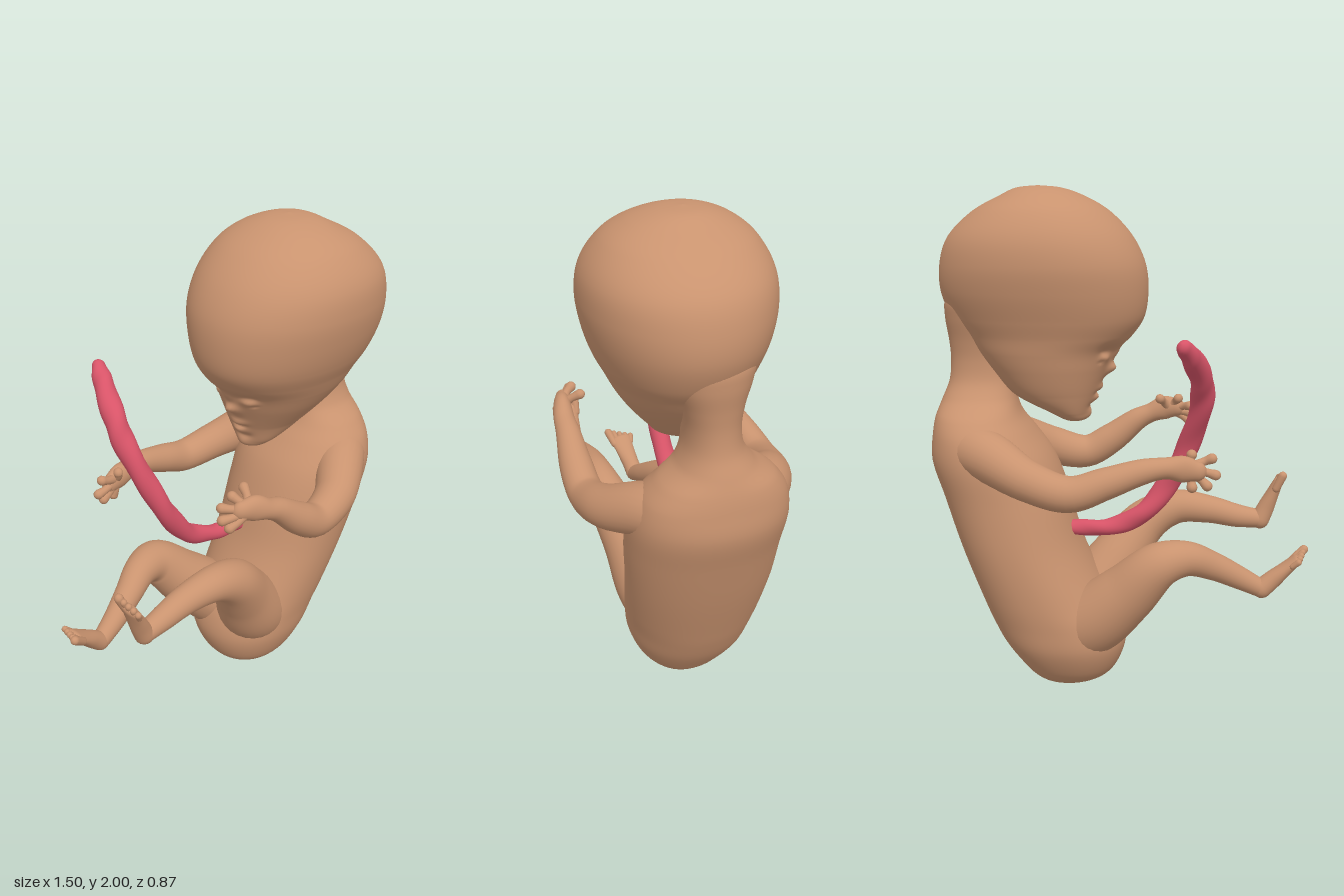
import * as THREE from 'three';

const skin = new THREE.MeshStandardMaterial({ color: 0xc9936f });
const cordSkin = new THREE.MeshStandardMaterial({ color: 0xd85468 });
const V = (x, y, z) => new THREE.Vector3(x, y, z);

// Skins a list of closed rings of points into one smooth surface
function skinRings(rings) {
  const n = rings[0].length, pos = [], index = [];
  rings.forEach((ring, r) => ring.forEach((p, i) => {
    pos.push(p.x, p.y, p.z);
    if (r === rings.length - 1) return;
    const a = r * n + i, b = r * n + (i + 1) % n;
    index.push(a, a + n, b, b, a + n, b + n);
  }));
  const geo = new THREE.BufferGeometry();
  geo.setAttribute('position', new THREE.Float32BufferAttribute(pos, 3));
  geo.setIndex(index);
  geo.computeVertexNormals();
  return geo;
}

// Horizontal sections [y, x0, x1, z0, z1]; power below 1 makes them boxier
function loft(sections, power, steps, sides) {
  const a = new THREE.CatmullRomCurve3(sections.map(s => V(s[0], s[1], s[2])));
  const b = new THREE.CatmullRomCurve3(sections.map(s => V(s[0], s[3], s[4])));
  const pw = v => Math.sign(v) * Math.abs(v) ** power;
  const rings = [];
  for (let i = 0; i <= steps; i++) {
    const p = a.getPoint(i / steps), q = b.getPoint(i / steps), ring = [];
    for (let k = 0; k < sides; k++) {
      const t = k / sides * Math.PI * 2;
      ring.push(V((p.y + p.z) / 2 + (p.z - p.y) / 2 * pw(Math.cos(t)), p.x,
        (q.y + q.z) / 2 + (q.z - q.y) / 2 * pw(Math.sin(t))));
    }
    rings.push(ring);
  }
  return skinRings(rings);
}

// Soft bumps and hollows [x, y, z, radius, z stretch, push along x]
function sculpt(geo, bumps) {
  const pos = geo.attributes.position;
  for (const [x, y, z, r, wide, push] of bumps) {
    for (let i = 0; i < pos.count; i++) {
      const d = V(pos.getX(i) - x, pos.getY(i) - y, (pos.getZ(i) - z) / wide).lengthSq();
      pos.setX(i, pos.getX(i) + push * Math.exp(-d / (r * r)));
    }
  }
  geo.computeVertexNormals();
  return geo;
}

// Round-ended limb through [x, y, z, radius, sideways stretch]
function limb(points, steps, sides, ridge = () => 1) {
  const path = new THREE.CatmullRomCurve3(points.map(p => V(p[0], p[1], p[2])));
  const size = new THREE.CatmullRomCurve3(points.map((p, i) => V(p[3], p[4] ?? 1, i)));
  const rings = [];
  const add = (t, shift, scale) => {
    const c = path.getPoint(t), d = path.getTangent(t), s = size.getPoint(t);
    const n = d.clone().cross(V(0, 0, 1)).normalize(), b = n.clone().cross(d);
    c.addScaledVector(d, shift * s.x);
    rings.push(Array.from({ length: sides }, (_, k) => {
      const a = k / sides * Math.PI * 2, r = s.x * scale * ridge(t, a);
      return c.clone().addScaledVector(n, r * Math.cos(a)).addScaledVector(b, r * s.y * Math.sin(a));
    }));
  };
  const cap = [0, 1, 2, 3, 4].map(i => i / 5 * Math.PI / 2);
  cap.forEach(a => add(0, -Math.cos(a), Math.sin(a)));
  for (let i = 0; i <= steps; i++) add(i / steps, 0, 1);
  cap.reverse().forEach(a => add(1, Math.cos(a), Math.sin(a)));
  return skinRings(rings);
}

export function createModel() {
  const model = new THREE.Group();
  const add = (name, geo, mat = skin) => {
    const mesh = new THREE.Mesh(geo, mat);
    mesh.name = name;
    model.add(mesh);
  };

  // Curled torso running up into a neck that flares into the skull
  add('torso', loft([
    [0.005, 0.23, 0.23, -0.02, -0.02], [0.015, 0.13, 0.32, -0.11, 0.08], [0.05, 0.05, 0.37, -0.17, 0.13],
    [0.1, 0.01, 0.41, -0.215, 0.17], [0.2, -0.02, 0.48, -0.265, 0.21], [0.3, 0, 0.53, -0.28, 0.225],
    [0.4, 0.06, 0.57, -0.29, 0.24], [0.6, 0.16, 0.645, -0.3, 0.265], [0.8, 0.22, 0.71, -0.3, 0.285],
    [0.95, 0.28, 0.755, -0.3, 0.285], [1.05, 0.35, 0.75, -0.275, 0.255], [1.12, 0.4, 0.738, -0.225, 0.2],
    [1.18, 0.42, 0.718, -0.145, 0.135], [1.25, 0.43, 0.692, -0.1, 0.108], [1.33, 0.43, 0.684, -0.09, 0.108],
    [1.41, 0.43, 0.69, -0.1, 0.13], [1.5, 0.42, 0.703, -0.125, 0.175], [1.57, 0.4, 0.7, -0.14, 0.205],
    [1.65, 0.4, 0.64, -0.12, 0.19],
  ], 0.93, 108, 56));

  // Large skull narrowing to the face and chin, with sculpted features
  const head = loft([
    [1.09, 0.185, 0.185, 0.01, 0.01], [1.1, 0.15, 0.23, -0.045, 0.06], [1.13, 0.135, 0.29, -0.08, 0.1],
    [1.2, 0.105, 0.43, -0.125, 0.15], [1.3, 0.06, 0.53, -0.165, 0.23], [1.37, 0.025, 0.59, -0.185, 0.275],
    [1.43, -0.035, 0.635, -0.2, 0.305], [1.5, -0.08, 0.685, -0.225, 0.34], [1.6, -0.095, 0.722, -0.258, 0.372],
    [1.7, -0.085, 0.722, -0.276, 0.387], [1.8, -0.04, 0.69, -0.265, 0.375], [1.9, 0.05, 0.59, -0.21, 0.31],
    [1.96, 0.15, 0.48, -0.13, 0.22], [1.99, 0.235, 0.415, -0.05, 0.13], [2.0, 0.33, 0.33, 0.035, 0.035],
  ], 0.96, 168, 120);
  const face = [
    [0.03, 1.36, 0.035, 0.03, 0.8, -0.012],  // nose bridge
    [0.055, 1.297, 0.035, 0.026, 1.1, -0.034],  // nose tip
    [0.1, 1.228, 0.03, 0.018, 2.2, -0.016],  // upper lip
    [0.1, 1.206, 0.03, 0.009, 4.5, 0.014],  // mouth line
    [0.11, 1.184, 0.028, 0.018, 2, -0.016],  // lower lip
    [0.125, 1.155, 0.025, 0.016, 3, 0.008],  // hollow above the chin
    [0.14, 1.118, 0.02, 0.026, 1.5, -0.014],  // chin
  ];
  for (const s of [-1, 1]) {
    face.push([0.045, 1.375, 0.035 + s * 0.095, 0.03, 1.6, 0.022]);  // eye socket
    face.push([0.06, 1.352, 0.035 + s * 0.09, 0.02, 1.8, -0.016]);  // closed eyelid
    face.push([0.07, 1.337, 0.035 + s * 0.09, 0.008, 5, 0.01]);  // eyelid line
  }
  add('head', sculpt(head, face));

  // Arms: shoulder, elbow, wrist, palm
  const arms = {
    leftArm: [[0.62, 1.0, 0.11, 0.1], [0.5, 0.975, 0.215, 0.1], [0.35, 0.915, 0.325, 0.083], [0.2, 0.885, 0.36, 0.07],
      [0.09, 0.945, 0.37, 0.064], [-0.02, 1.03, 0.37, 0.048], [-0.08, 1.06, 0.37, 0.041],
      [-0.14, 1.085, 0.362, 0.05, 0.7], [-0.19, 1.09, 0.35, 0.038, 0.75]],
    rightArm: [[0.62, 1.01, -0.13, 0.1], [0.48, 0.99, -0.24, 0.098], [0.31, 0.925, -0.33, 0.078], [0.15, 0.89, -0.365, 0.068],
      [0.02, 0.93, -0.35, 0.06], [-0.12, 0.975, -0.325, 0.047], [-0.2, 0.985, -0.305, 0.04],
      [-0.26, 0.98, -0.29, 0.05, 0.7], [-0.31, 0.97, -0.28, 0.038, 0.75]],
  };
  for (const name in arms) add(name, limb(arms[name], 48, 24));

  // Fingers run from the palm to a bulbous tip
  const hands = {
    leftFinger: [[-0.16, 1.085, 0.355], [[-0.125, 1.135, 0.292], [-0.2, 1.135, 0.31], [-0.25, 1.105, 0.308],
      [-0.262, 1.065, 0.325], [-0.245, 1.035, 0.345]]],
    rightFinger: [[-0.28, 0.98, -0.285], [[-0.29, 1.025, -0.25], [-0.365, 1.015, -0.258], [-0.38, 0.955, -0.265],
      [-0.35, 0.915, -0.275], [-0.295, 0.91, -0.285]]],
  };
  for (const name in hands) {
    const [palm, tips] = hands[name];
    for (const tip of tips) {
      const mid = palm.map((v, i) => v + (tip[i] - v) * 0.65);
      mid[2] += 0.008;
      add(name, limb([[...palm, 0.024], [...mid, 0.016], [...tip, 0.02]], 12, 12));
    }
  }

  // Legs: hip, knee, ankle
  const legs = {
    leftLeg: [[0.23, 0.24, 0.03, 0.14], [0.13, 0.34, 0.085, 0.145], [0.03, 0.49, 0.135, 0.118], [-0.08, 0.63, 0.19, 0.093],
      [-0.2, 0.69, 0.21, 0.073], [-0.34, 0.685, 0.207, 0.058], [-0.46, 0.66, 0.21, 0.048], [-0.55, 0.648, 0.22, 0.038]],
    rightLeg: [[0.22, 0.24, -0.07, 0.14], [0.1, 0.31, -0.125, 0.14], [-0.04, 0.44, -0.165, 0.118], [-0.17, 0.57, -0.19, 0.09],
      [-0.27, 0.59, -0.16, 0.069], [-0.37, 0.55, -0.115, 0.056], [-0.47, 0.495, -0.08, 0.046], [-0.555, 0.448, -0.06, 0.037]],
  };
  for (const name in legs) add(name, limb(legs[name], 48, 28));

  // Flexed feet, each with a row of five toes; the big toe is on the inner side
  const feet = {
    left: [[-0.555, 0.645, 0.22], [-0.635, 0.825, 0.24], -1],
    right: [[-0.565, 0.445, -0.06], [-0.715, 0.575, -0.03], 1],
  };
  for (const side in feet) {
    const [heel, toe, inner] = feet[side];
    const along = V(...toe).sub(V(...heel));
    const at = f => V(...heel).addScaledVector(along, f).toArray();
    add(side + 'Foot', limb([[...at(0), 0.039, 1], [...at(0.3), 0.035, 1.1], [...at(0.6), 0.027, 1.6],
      [...at(0.88), 0.02, 2.4]], 20, 20));
    for (let i = 0; i < 5; i++) {
      const z = inner * (0.042 - i * 0.022), reach = 1.09 - i * 0.04, r = i ? 0.013 : 0.018;
      const a = at(0.78), b = at(reach);
      a[2] += z * 0.9;
      b[2] += z * 1.1;
      add(side + 'Toe', limb([[...a, r * 0.9], [...b, r]], 6, 10));
    }
  }

  // Gently twisted cord rising from the belly
  add('cord', limb([[0.28, 0.67, -0.04, 0.028], [0.17, 0.67, -0.06, 0.03], [0.04, 0.68, -0.07, 0.034], [-0.09, 0.74, -0.07, 0.04],
    [-0.2, 0.88, -0.06, 0.042], [-0.27, 1.03, -0.085, 0.042], [-0.32, 1.2, -0.155, 0.044], [-0.32, 1.3, -0.215, 0.044],
    [-0.29, 1.39, -0.31, 0.04], [-0.265, 1.435, -0.37, 0.028]], 140, 24,
  (t, a) => 1 + 0.06 * Math.cos(2 * a + t * 45)), cordSkin);

  return model;
}
